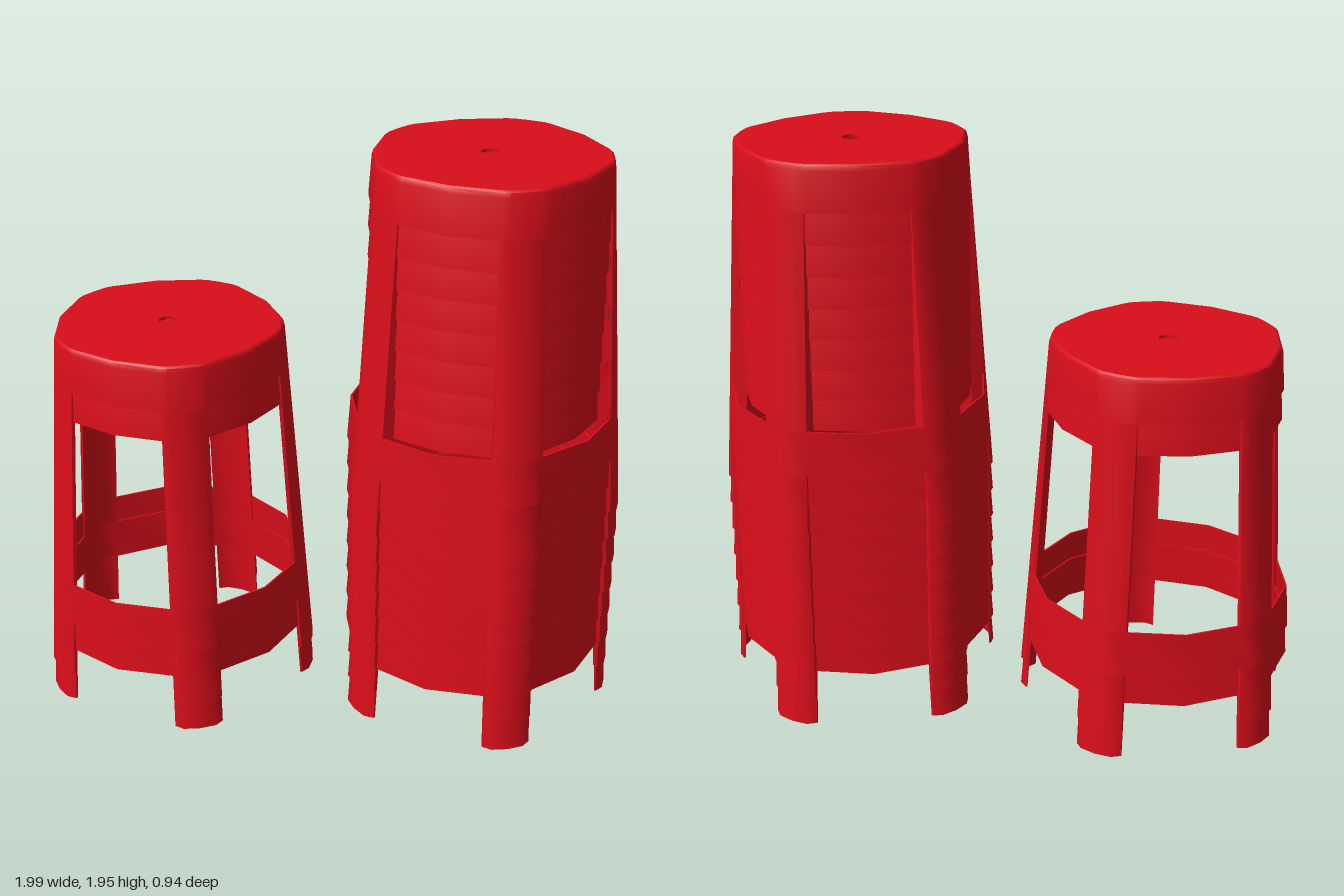
import * as THREE from 'three';
import { mergeGeometries, toCreasedNormals } from 'three/addons/utils/BufferGeometryUtils.js';

const H = 1.225;      // height of one stool
const STEP = 0.104;   // rise per stacked stool
const WALL = 0.006;   // shell thickness
const LEGS = 5;
const SECTOR = (Math.PI * 2) / LEGS;

// Leg cross-section: sideways fraction and how far it falls back from the crown
const LEG_PROFILE = [[-1, 1], [-0.68, 0.25], [0, 0], [0.68, 0.25], [1, 1]];
const PER = LEG_PROFILE.length + 1;

// Point i of the tapering plan outline at height y (5 per leg, then 1 between legs)
function outline(i, y, inset = 0) {
  const flare = 1 - y / H;
  const angle = Math.floor(i / PER) * SECTOR;
  const j = i % PER;
  let r, t, a = angle;
  if (j < LEG_PROFILE.length) {
    const [side, drop] = LEG_PROFILE[j];
    r = 0.39 + 0.095 * flare - (0.01 + 0.02 * flare) * drop - inset;
    t = side * (0.075 + 0.0075 * flare);
  } else {
    r = 0.375 + 0.09 * flare - inset;
    t = 0;
    a += SECTOR / 2;
  }
  return [r * Math.cos(a) - t * Math.sin(a), y, r * Math.sin(a) + t * Math.cos(a)];
}

// Thin wall along outline points start..start+count, through levels [y, inset]
function wall(start, count, levels, closed = false) {
  const section = [
    ...levels,
    ...[...levels].reverse().map(([y, inset]) => [y, inset + WALL]),
  ];
  const pos = [];
  const quad = (a, b, c, d) => pos.push(...a, ...b, ...c, ...a, ...c, ...d);
  const P = (i, j) => {
    const [y, inset] = section[j % section.length];
    return outline((start + i) % (PER * LEGS), y, inset);
  };
  for (let i = 0; i < count; i++) {
    for (let j = 0; j < section.length; j++) {
      quad(P(i, j), P(i, j + 1), P(i + 1, j + 1), P(i + 1, j));
    }
  }
  if (!closed) {
    quad(P(0, 3), P(0, 2), P(0, 1), P(0, 0));
    quad(P(count, 0), P(count, 1), P(count, 2), P(count, 3));
  }
  const g = new THREE.BufferGeometry();
  g.setAttribute('position', new THREE.Float32BufferAttribute(pos, 3));
  g.computeVertexNormals();
  return toCreasedNormals(g, 0.6);
}

// Flat seat plate with a small centre hole
function seatGeometry() {
  const shape = new THREE.Shape();
  for (let i = 0; i < PER * LEGS; i++) {
    const [x, , z] = outline(i, H, 0.01);
    if (i === 0) shape.moveTo(x, -z);
    else shape.lineTo(x, -z);
  }
  shape.closePath();
  const hole = new THREE.Path();
  hole.absarc(0, 0, 0.032, 0, Math.PI * 2, false);
  shape.holes.push(hole);
  const g = new THREE.ExtrudeGeometry(shape, { depth: 0.01, bevelEnabled: false, curveSegments: 6 });
  return g.rotateX(-Math.PI / 2).translate(0, H - 0.01, 0);
}

export function createModel() {
  const model = new THREE.Group();
  model.name = 'stackedStools';
  const red = new THREE.MeshStandardMaterial({ color: 0xd90e1a, side: THREE.DoubleSide });

  // Shared part geometries
  const all = PER * LEGS;
  const parts = {
    seat: seatGeometry(),
    apron: wall(0, all, [[1.072, 0], [H - 0.02, 0], [H - 0.006, 0.003], [H, 0.01]], true),
    footRing: wall(0, all, [[0.2, 0], [0.355, 0]], true),
  };
  for (let k = 0; k < LEGS; k++) {
    parts['leg' + (k + 1)] = mergeGeometries([
      wall(k * PER, 4, [[0, 0], [0.2, 0]]),
      wall(k * PER, 4, [[0.355, 0], [1.072, 0]]),
    ]);
  }

  // One nested stack of stools
  function stack(name, count, x) {
    const group = new THREE.Group();
    group.name = name;
    for (let n = 0; n < count; n++) {
      const stool = new THREE.Group();
      stool.name = 'stool' + (n + 1);
      for (const [part, geometry] of Object.entries(parts)) {
        const mesh = new THREE.Mesh(geometry, red);
        mesh.name = part;
        stool.add(mesh);
      }
      stool.position.y = n * STEP;
      group.add(stool);
    }
    group.position.x = x;
    model.add(group);
  }

  stack('shortStack', 2, -0.548);
  stack('tallStack', 8, 0.51);
  return model;
}
